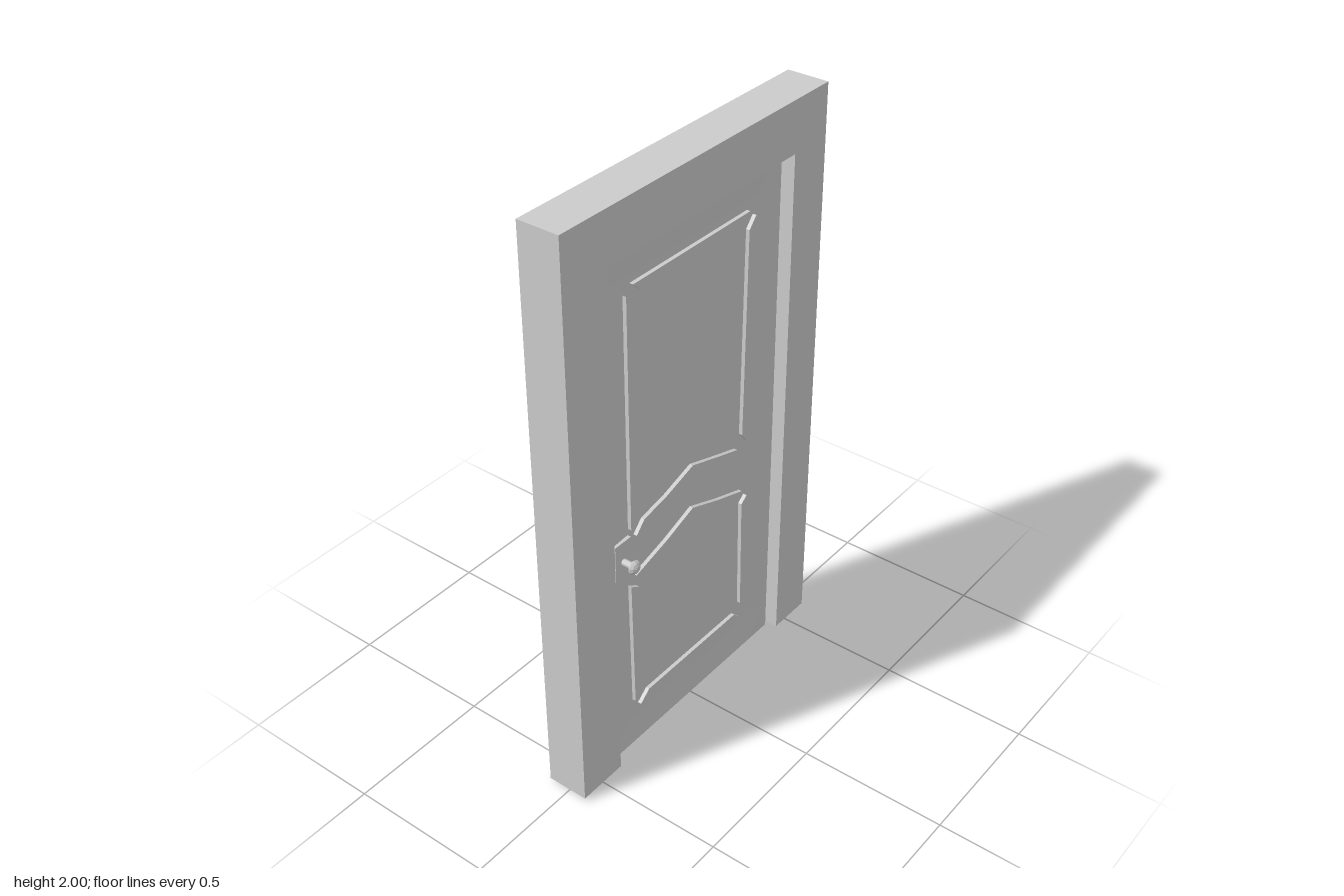
import * as THREE from 'three';

const material = new THREE.MeshStandardMaterial({ color: 0xcccccc, flatShading: true });
const DOOR_FRONT = 0.026;
const DOOR_BACK = -0.069;
const DISH = 0.005;

function add(parent, name, geometry, x = 0, y = 0, z = 0) {
  const mesh = new THREE.Mesh(geometry, material);
  mesh.name = name;
  mesh.position.set(x, y, z);
  parent.add(mesh);
  return mesh;
}

// Flat outline pushed out along z
function slab(points, depth) {
  const shape = new THREE.Shape(points.map(([x, y]) => new THREE.Vector2(x, y)));
  return new THREE.ExtrudeGeometry(shape, { depth, bevelEnabled: false });
}

// Door leaf whose front dips slightly towards a central field
function doorLeaf() {
  const width = 0.858, height = 1.828, depth = DOOR_FRONT - DOOR_BACK;
  const geometry = new THREE.BoxGeometry(width, height, depth, 3, 3, 1);
  const p = geometry.attributes.position;
  for (let i = 0; i < p.count; i++) {
    const innerX = Math.abs(p.getX(i)) < width * 0.4;
    const innerY = Math.abs(p.getY(i)) < height * 0.4;
    if (innerX) p.setX(i, Math.sign(p.getX(i)) * 0.32);
    if (innerY) p.setY(i, Math.sign(p.getY(i)) * 0.81);
    if (innerX && innerY && p.getZ(i) > 0) p.setZ(i, depth / 2 - DISH);
  }
  geometry.computeVertexNormals();
  return geometry;
}

export function createModel() {
  const model = new THREE.Group();
  model.name = 'door';

  // Surrounding frame: two jambs and a lintel in one outline
  add(model, 'frame', slab([
    [-0.597, 0.012], [-0.42, 0.012], [-0.42, 1.828], [0.437, 1.828],
    [0.437, 0.012], [0.595, 0.012], [0.595, 2], [-0.597, 2],
  ], 0.143), 0, 0, -0.073);

  add(model, 'doorLeaf', doorLeaf(), 0.004, 0.914, (DOOR_FRONT + DOOR_BACK) / 2);

  // Mitred moldings around the two panels
  const moldings = {
    upperTop: [[-0.27, 1.7], [-0.233, 1.667], [0.233, 1.667], [0.27, 1.7]],
    upperLeft: [[0.3, 1.675], [0.268, 1.638], [0.255, 0.915], [0.285, 0.875]],
    upperRight: [[-0.3, 1.675], [-0.3, 0.876], [-0.267, 0.918], [-0.265, 1.638]],
    upperArch: [[-0.275, 0.84], [-0.13, 0.872], [0, 0.912], [0.13, 0.872], [0.26, 0.84],
      [0.23, 0.872], [0.13, 0.902], [0, 0.943], [-0.13, 0.902], [-0.238, 0.88]],
    lowerArch: [[-0.28, 0.69], [-0.238, 0.67], [-0.13, 0.703], [0, 0.754], [0.13, 0.703],
      [0.23, 0.67], [0.26, 0.692], [0.13, 0.733], [0, 0.78], [-0.13, 0.733]],
    lowerLeft: [[0.287, 0.66], [0.26, 0.638], [0.265, 0.215], [0.297, 0.183]],
    lowerRight: [[-0.305, 0.66], [-0.297, 0.183], [-0.265, 0.22], [-0.267, 0.638]],
    lowerBottom: [[-0.27, 0.15], [0.27, 0.15], [0.233, 0.185], [-0.228, 0.185]],
  };
  for (const [name, points] of Object.entries(moldings)) {
    add(model, name + 'Molding', slab(points, 0.02), 0, 0, DOOR_FRONT - 0.012);
  }

  // Lock plate on the front
  add(model, 'lockPlate', new THREE.BoxGeometry(0.073, 0.132, 0.014), -0.338, 0.787, DOOR_FRONT);

  // Faceted knobs on both faces, each reaching back into the leaf
  const profile = (start) => [
    [0.011, start], [0.011, 0.066], [0.021, 0.07], [0.025, 0.076], [0.019, 0.085], [0.009, 0.091], [0, 0.092],
  ].map(([r, h]) => new THREE.Vector2(r, h));
  const front = add(model, 'frontKnob', new THREE.LatheGeometry(profile(0.02), 10), -0.338, 0.78, -0.001);
  front.rotation.x = Math.PI / 2;
  const back = add(model, 'backKnob', new THREE.LatheGeometry(profile(0.05), 10), -0.338, 0.78, -0.001);
  back.rotation.x = -Math.PI / 2;

  return model;
}
